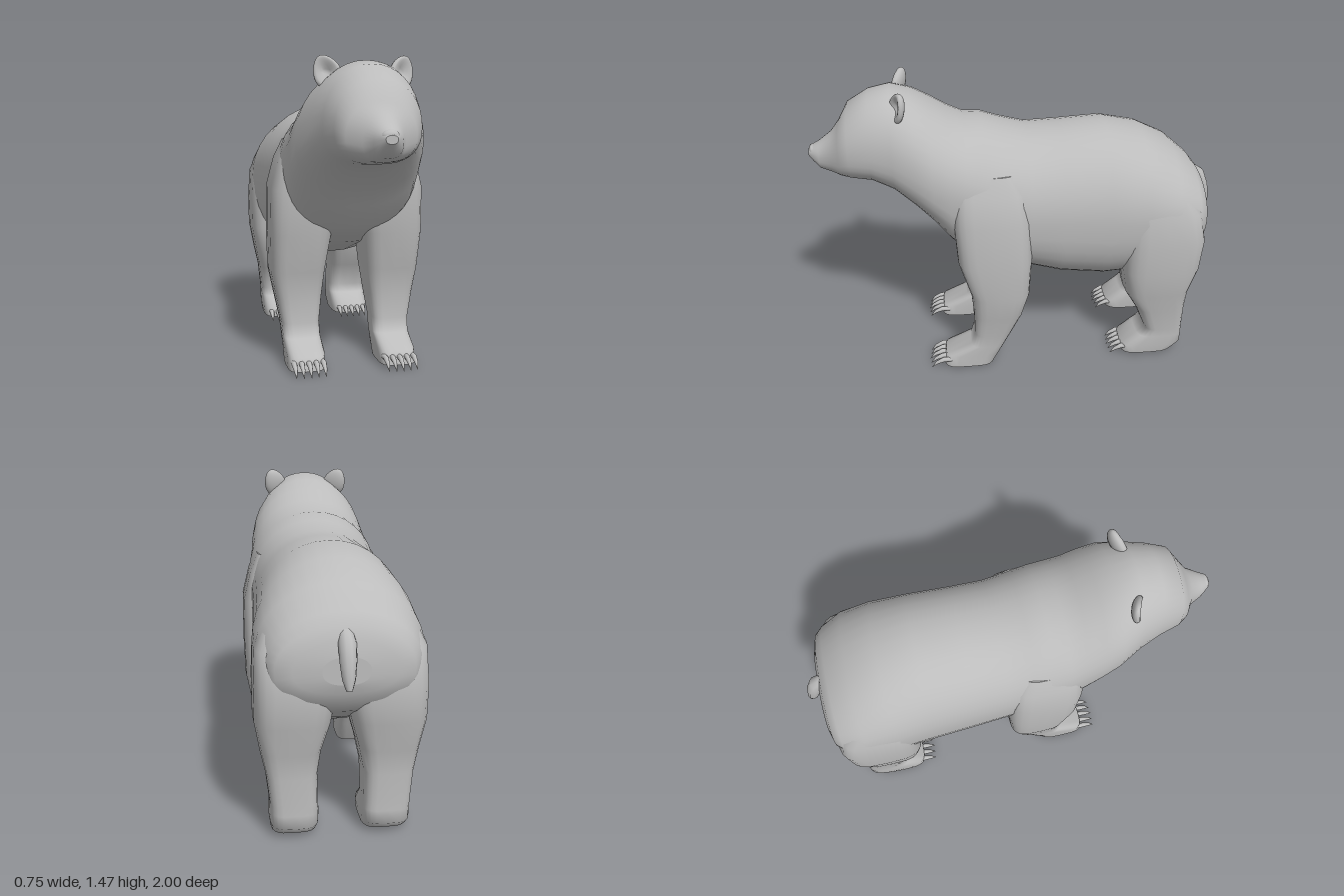
import * as THREE from 'three';

const fur = new THREE.MeshStandardMaterial({ color: 0xbcbcbc });
fur.name = 'grey fur';

const spow = (v, p) => Math.sign(v) * Math.pow(Math.abs(v), p);

// n points around a circle, passed to fn as (cos, sin)
const ring = (n, fn) => Array.from({ length: n }, (_, i) => {
  const a = i / n * Math.PI * 2;
  return fn(Math.cos(a), Math.sin(a));
});

// Skin a list of closed rings; each ring runs counter-clockwise about the direction of travel
function loft(rings) {
  const n = rings[0].length, pos = rings.flat(2), idx = [];
  for (let k = 0; k < rings.length - 1; k++) {
    for (let i = 0; i < n; i++) {
      const a = k * n + i, b = k * n + (i + 1) % n;
      idx.push(a, b, a + n, b, b + n, a + n);
    }
  }
  // end caps with their own vertices, so their edges stay crisp
  [rings[0], rings[rings.length - 1]].forEach((r, end) => {
    const c = pos.length / 3;
    pos.push(...[0, 1, 2].map(j => r.reduce((s, p) => s + p[j], 0) / n), ...r.flat());
    for (let i = 0; i < n; i++) {
      const a = c + 1 + i, b = c + 1 + (i + 1) % n;
      if (end) idx.push(c, a, b);
      else idx.push(c, b, a);
    }
  });
  const g = new THREE.BufferGeometry();
  g.setAttribute('position', new THREE.Float32BufferAttribute(pos, 3));
  g.setIndex(idx);
  g.computeVertexNormals();
  return g;
}

// Upright body section: rounder above its widest level, boxier below
const bodyRing = ([z, top, bottom, w, mid]) => ring(36, (c, s) => {
  const e = s > 0 ? 0.96 : 0.8;
  return [w * spow(c, e), mid + (s > 0 ? top - mid : mid - bottom) * spow(s, e), z];
});

// Level leg section: rounded box between inner/outer x and back/front z
const legRing = ([y, inner, outer, back, front], side) => ring(24, (c, s) => [
  side * (inner + outer) / 2 + (outer - inner) / 2 * spow(s, 0.52),
  y,
  (back + front) / 2 + (front - back) / 2 * spow(c, 0.52)
]);

// Round tapering limb in the y-z plane; stations are [y, z, radius]
function taper(stations, x) {
  return loft(stations.map(([y, z, r], k) => {
    const p = stations[Math.max(k - 1, 0)], q = stations[Math.min(k + 1, stations.length - 1)];
    const len = Math.hypot(q[0] - p[0], q[1] - p[1]);
    const ty = (q[0] - p[0]) / len, tz = (q[1] - p[1]) / len;
    return ring(10, (c, s) => [x + c * r, y + s * r * tz, z - s * r * ty]);
  }));
}

// z, top, bottom, half width, widest level
const bodySections = [
  [-0.93, 0.86, 0.74, 0.10, 0.8],
  [-0.92, 0.92, 0.70, 0.22, 0.8],
  [-0.90, 0.98, 0.65, 0.29, 0.8],
  [-0.86, 1.03, 0.60, 0.325, 0.8],
  [-0.75, 1.125, 0.53, 0.365, 0.81],
  [-0.60, 1.20, 0.46, 0.365, 0.83],
  [-0.42, 1.24, 0.435, 0.35, 0.84],
  [-0.20, 1.228, 0.46, 0.34, 0.85],
  [-0.04, 1.222, 0.51, 0.335, 0.86],
  [0.09, 1.255, 0.55, 0.335, 0.9],
  [0.18, 1.285, 0.58, 0.335, 0.93],
  [0.26, 1.285, 0.63, 0.33, 0.97],
  [0.34, 1.325, 0.68, 0.318, 1.0],
  [0.42, 1.375, 0.79, 0.31, 1.05],
  [0.50, 1.42, 0.88, 0.295, 1.1],
  [0.60, 1.45, 0.965, 0.25, 1.15],
  [0.70, 1.43, 1.01, 0.215, 1.17],
  [0.80, 1.37, 1.02, 0.187, 1.17],
  [0.85, 1.28, 1.03, 0.15, 1.14],
  [0.89, 1.23, 1.035, 0.09, 1.12],
  [0.95, 1.185, 1.055, 0.062, 1.12],
  [0.98, 1.17, 1.09, 0.042, 1.13],
  [1.0, 1.15, 1.115, 0.025, 1.135]
];

// y, inner x, outer x, back z, front z
const frontLegSections = [
  [0.01, 0.135, 0.314, 0.155, 0.41],
  [0.075, 0.13, 0.316, 0.12, 0.40],
  [0.13, 0.132, 0.317, 0.095, 0.27],
  [0.20, 0.133, 0.322, 0.06, 0.25],
  [0.32, 0.118, 0.345, 0.005, 0.25],
  [0.45, 0.10, 0.37, -0.03, 0.262],
  [0.64, 0.075, 0.376, -0.042, 0.32],
  [0.86, 0.04, 0.374, -0.04, 0.335],
  [1.0, 0.06, 0.338, -0.02, 0.33],
  [1.09, 0.08, 0.298, 0.03, 0.30]
];
const hindLegSections = [
  [0.015, 0.10, 0.305, -0.80, -0.525],
  [0.06, 0.095, 0.31, -0.85, -0.525],
  [0.12, 0.095, 0.31, -0.848, -0.605],
  [0.16, 0.10, 0.31, -0.846, -0.645],
  [0.29, 0.10, 0.325, -0.845, -0.59],
  [0.40, 0.08, 0.35, -0.85, -0.525],
  [0.54, 0.04, 0.374, -0.89, -0.50],
  [0.70, 0.015, 0.375, -0.905, -0.498],
  [0.86, 0.04, 0.367, -0.87, -0.505],
  [0.98, 0.06, 0.315, -0.78, -0.53]
];

// Cupped ear, wider at its base: a flattened ball with its front pushed in
function earGeometry() {
  const g = new THREE.SphereGeometry(1, 24, 18), p = g.attributes.position;
  for (let i = 0; i < p.count; i++) {
    const x = p.getX(i), y = p.getY(i), z = p.getZ(i);
    const dent = z > 0 ? 1.5 * Math.max(0, 1 - Math.hypot(x, y) / 0.9) : 0;
    p.setXYZ(i, x * (1 - 0.22 * y) * 0.06, y * 0.075, (z - dent) * 0.03);
  }
  g.computeVertexNormals();
  return g;
}

function add(parent, name, geometry) {
  const mesh = new THREE.Mesh(geometry, fur);
  mesh.name = name;
  parent.add(mesh);
  return mesh;
}

// Leg with a row of five hooked claws; claws start at height y, depth z
function addLeg(parent, name, sections, side, clawX, y, z, reach) {
  const leg = new THREE.Group();
  leg.name = name;
  parent.add(leg);
  add(leg, 'legAndPaw', loft(sections.map(s => legRing(s, side))));
  for (let i = -2; i <= 2; i++) {
    const root = z - Math.abs(i) * 0.004;
    add(leg, 'claw', taper([
      [y, root - 0.02, 0.013], [y, root + reach * 0.3, 0.013],
      [y - 0.016, root + reach * 0.7, 0.009], [0.006, root + reach, 0.001]
    ], side * clawX + i * 0.035));
  }
}

export function createModel() {
  const bear = new THREE.Group();
  bear.name = 'bear';

  add(bear, 'bodyAndHead', loft(bodySections.map(bodyRing)));

  // nose pad
  const nose = add(bear, 'nose', new THREE.SphereGeometry(1, 16, 12));
  nose.scale.set(0.037, 0.024, 0.022);
  nose.position.set(0, 1.147, 0.977);

  // drooping tail
  add(bear, 'tail', taper([
    [0.95, -0.88, 0.03], [0.915, -0.925, 0.038], [0.85, -0.952, 0.036],
    [0.78, -0.972, 0.028], [0.735, -0.985, 0.013]
  ], 0));

  for (const side of [1, -1]) {
    const label = side > 0 ? 'left' : 'right';
    const ear = add(bear, label + 'Ear', earGeometry());
    ear.position.set(side * 0.168, 1.402, 0.562);
    ear.rotation.set(-0.15, side * 0.4, -side * 0.4);

    addLeg(bear, label + 'FrontLeg', frontLegSections, side, 0.222, 0.05, 0.395, 0.09);
    addLeg(bear, label + 'HindLeg', hindLegSections, side, 0.202, 0.045, -0.54, 0.08);
  }
  return bear;
}
